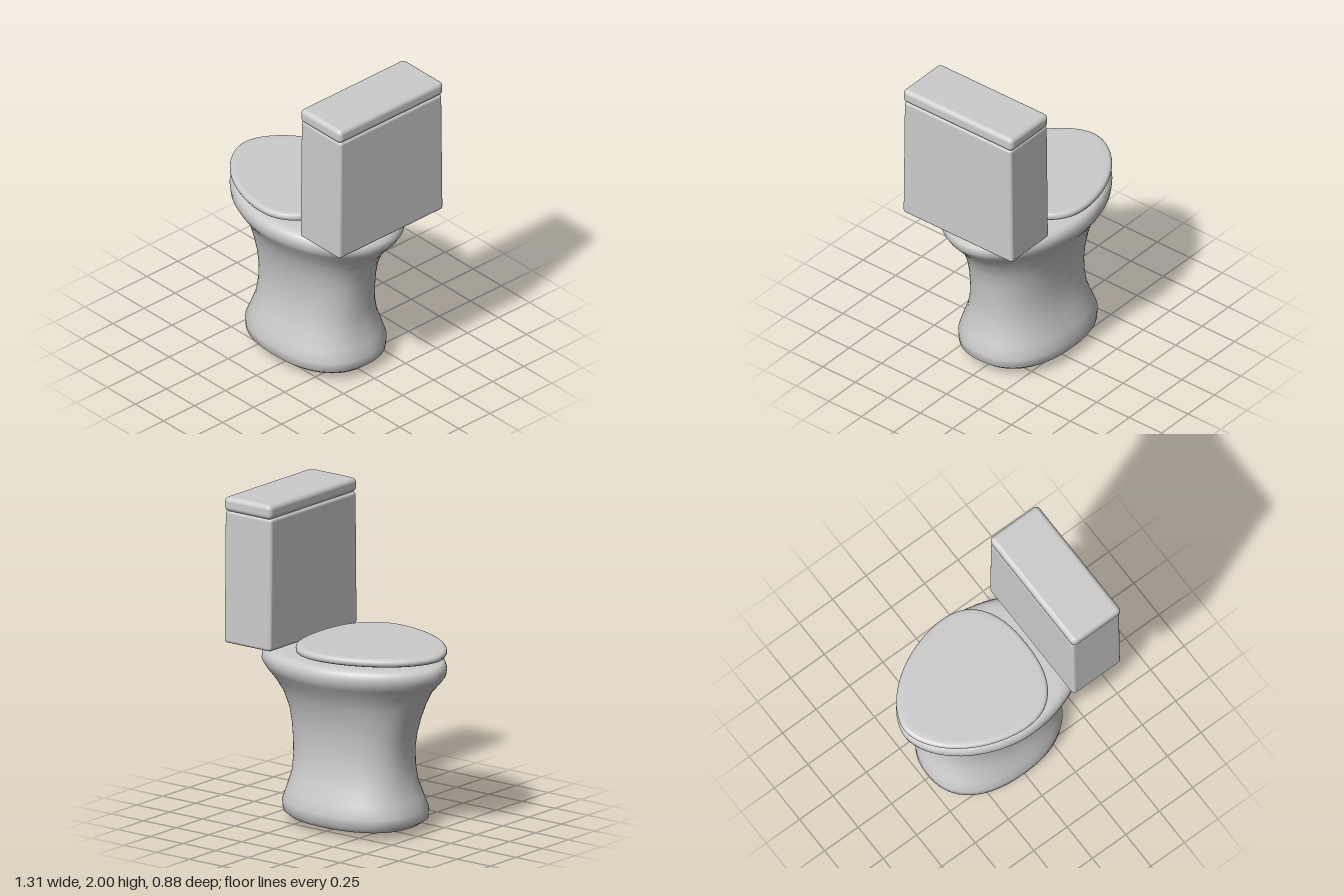
import * as THREE from 'three';
import { RoundedBoxGeometry } from 'three/addons/geometries/RoundedBoxGeometry.js';

const SEGMENTS = 72;

// Egg-shaped ring: widest at xm, each half a superellipse with its own power.
function ringPoint(angle, { xl, xr, xm, hz, pl, pr }) {
  const c = Math.cos(angle), s = Math.sin(angle);
  const p = c < 0 ? pl : pr;
  const reach = c < 0 ? xm - xl : xr - xm;
  return [
    xm + Math.sign(c) * reach * Math.abs(c) ** (2 / p),
    Math.sign(s) * hz * Math.abs(s) ** (2 / p),
  ];
}

// Skin a stack of rings, listed from bottom to top.
function loft(rings) {
  const positions = [], index = [];
  rings.forEach((ring, i) => {
    for (let j = 0; j < SEGMENTS; j++) {
      const [x, z] = ringPoint((j / SEGMENTS) * Math.PI * 2, ring);
      positions.push(x, ring.y, z);
      if (i === rings.length - 1) continue;
      const a = i * SEGMENTS + j, b = i * SEGMENTS + ((j + 1) % SEGMENTS);
      index.push(a, a + SEGMENTS, b, b, a + SEGMENTS, b + SEGMENTS);
    }
  });
  const geometry = new THREE.BufferGeometry();
  geometry.setAttribute('position', new THREE.Float32BufferAttribute(positions, 3));
  geometry.setIndex(index);
  geometry.computeVertexNormals();
  return geometry;
}

// Pedestal and bowl: y, left x, right x, half depth
function bowlGeometry() {
  const profile = [
    [0.0, -0.02, -0.02, 0], [0.025, -0.38, 0.34, 0.26], [0.04, -0.44, 0.4, 0.31],
    [0.07, -0.485, 0.435, 0.345], [0.13, -0.485, 0.44, 0.35], [0.2, -0.455, 0.415, 0.33],
    [0.3, -0.42, 0.385, 0.295], [0.4, -0.41, 0.38, 0.275], [0.5, -0.41, 0.385, 0.27],
    [0.6, -0.43, 0.395, 0.277], [0.7, -0.465, 0.415, 0.297], [0.8, -0.51, 0.46, 0.33],
    [0.88, -0.555, 0.525, 0.37], [0.94, -0.615, 0.58, 0.415], [0.98, -0.647, 0.605, 0.438],
    [1.02, -0.655, 0.603, 0.44], [1.05, -0.645, 0.57, 0.43], [1.064, -0.625, 0.5, 0.412],
    [1.07, -0.58, 0.42, 0.38], [1.07, -0.5, 0.37, 0.33], [1.07, -0.03, -0.03, 0],
  ];
  return loft(profile.map(([y, xl, xr, hz]) => {
    // The foot is a rounded oval; the rim narrows towards the tip.
    const t = THREE.MathUtils.smoothstep(y, 0.45, 0.98);
    const mix = (a, b) => THREE.MathUtils.lerp(a, b, t);
    return { y, xl, xr, hz, xm: mix(-0.02, -0.03), pl: mix(2.3, 1.78), pr: mix(2.3, 2) };
  }));
}

// Closed seat lid: y, inset from the outer edge
function lidGeometry() {
  const profile = [
    [1.09, 1], [1.09, 0.22], [1.098, 0.05], [1.105, 0.015], [1.115, 0.002], [1.125, 0],
    [1.135, 0.005], [1.143, 0.02], [1.147, 0.045], [1.148, 0.1], [1.148, 1],
  ];
  return loft(profile.map(([y, inset]) => {
    const k = 1 - inset;
    return {
      y, xm: -0.06, xl: -0.06 - 0.595 * k, xr: -0.06 + 0.32 * k,
      hz: 0.427 * k, pl: 1.78, pr: 2.4,
    };
  }));
}

// Tank body, slightly narrower towards the top
function tankGeometry() {
  const geometry = new RoundedBoxGeometry(0.356, 0.82, 0.842, 4, 0.02);
  const pos = geometry.attributes.position;
  for (let i = 0; i < pos.count; i++) {
    const up = Math.max(0, pos.getY(i) / 0.41);
    pos.setZ(i, pos.getZ(i) * (1 - 0.025 * up * up));
  }
  return geometry;
}

export function createModel() {
  const porcelain = new THREE.MeshStandardMaterial({ color: 0xcccccc });
  porcelain.name = 'porcelain';

  const model = new THREE.Group();
  model.name = 'toilet';
  const add = (name, geometry, x = 0, y = 0) => {
    const mesh = new THREE.Mesh(geometry, porcelain);
    mesh.name = name;
    mesh.position.set(x, y, 0);
    model.add(mesh);
  };

  add('bowl', bowlGeometry());
  add('seatLid', lidGeometry());
  add('tank', tankGeometry(), 0.473, 1.505);
  add('tankLid', new RoundedBoxGeometry(0.36, 0.09, 0.842, 5, 0.03), 0.475, 1.955);
  return model;
}
